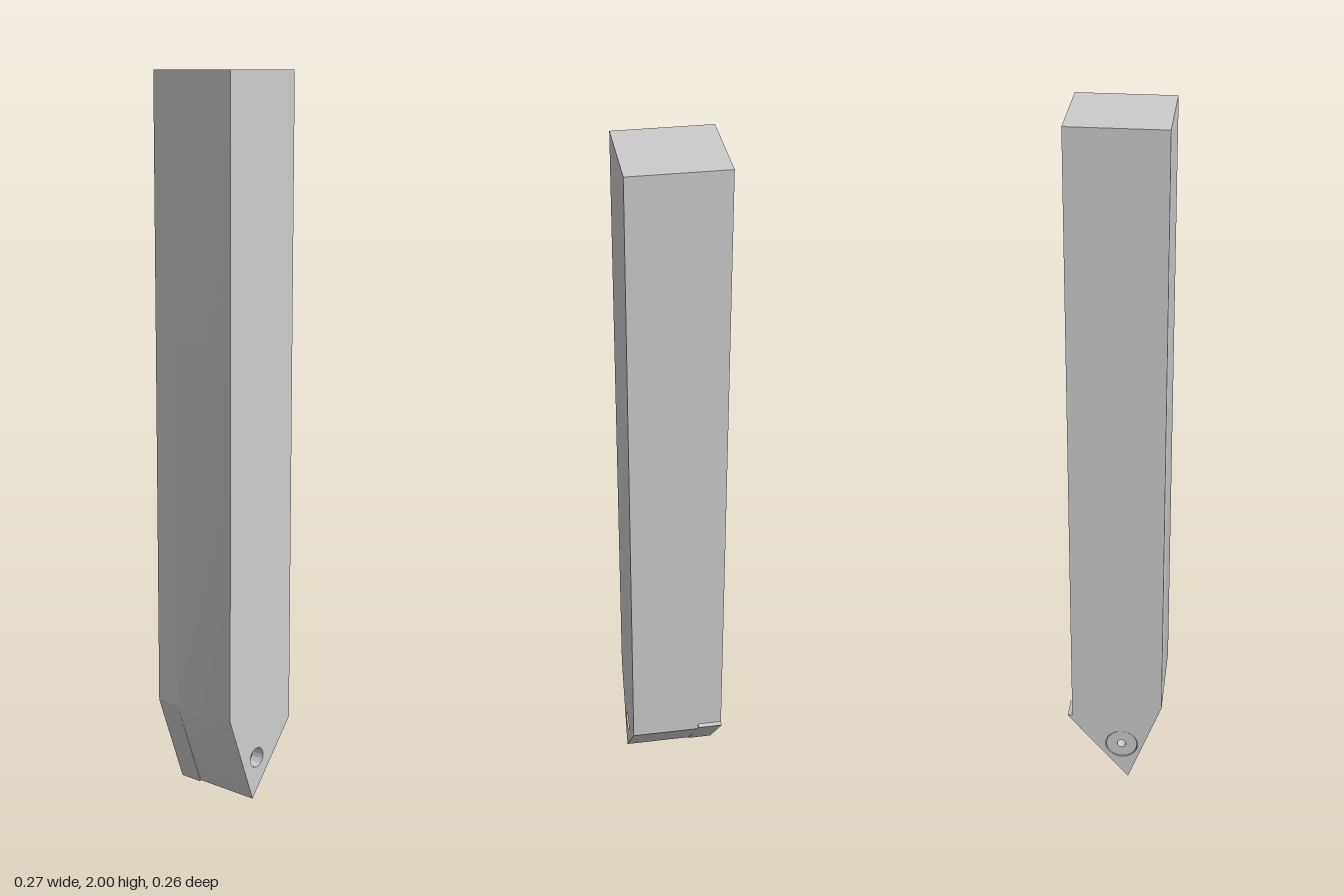
import * as THREE from 'three';
import { toCreasedNormals } from 'three/addons/utils/BufferGeometryUtils.js';

const material = new THREE.MeshStandardMaterial({ color: 0xcccccc });
const BACK = -0.132, SEAT = -0.063, FRONT = 0.13;
const SCREW = { x: -0.022, y: 0.122 };

// Flat plate between two z planes, with an optional round screw hole
function plate(name, points, z0, z1, holeRadius) {
  const shape = new THREE.Shape(points.map(([x, y]) => new THREE.Vector2(x, y)));
  if (holeRadius) {
    const hole = new THREE.Path();
    hole.absarc(SCREW.x, SCREW.y, holeRadius, 0, Math.PI * 2, true);
    shape.holes.push(hole);
  }
  const geometry = new THREE.ExtrudeGeometry(shape, { depth: z1 - z0, bevelEnabled: false, curveSegments: 32 });
  geometry.translate(0, 0, z0);
  const mesh = new THREE.Mesh(toCreasedNormals(geometry, 0.5), material);
  mesh.name = name;
  return mesh;
}

export function createModel() {
  const group = new THREE.Group();
  group.name = 'turningTool';

  // Square shank with a pointed end, full profile in front of the insert seat
  group.add(plate('shank',
    [[-0.138, 2], [-0.138, 0.263], [-0.04, 0.004], [0.123, 0.2], [0.123, 2]],
    SEAT, FRONT, 0.028));

  // Shank behind the seat, ending where the insert begins
  group.add(plate('shankBack',
    [[-0.138, 2], [-0.138, 0.263], [0.123, 0.219], [0.123, 2]], BACK, SEAT));

  // Triangular cutting insert whose corner overhangs the shank
  group.add(plate('cuttingInsert',
    [[-0.138, 0.263], [-0.041, 0], [0.136, 0.217]], BACK, SEAT, 0.047));

  // Countersunk clamping screw with a socket, passing through to the front hole
  const profile = [
    [0, -0.1], [0.013, -0.1], [0.013, -0.13], [0.045, -0.13], [0.045, -0.11],
    [0.028, -0.066], [0.028, 0.06], [0.017, 0.07], [0.017, 0.1], [0, 0.1],
  ].map(([r, y]) => new THREE.Vector2(r, y));
  const screwGeometry = new THREE.LatheGeometry(profile, 32);
  screwGeometry.rotateX(Math.PI / 2);
  const screw = new THREE.Mesh(toCreasedNormals(screwGeometry, 0.5), material);
  screw.name = 'clampScrew';
  screw.position.set(SCREW.x, SCREW.y, 0);
  group.add(screw);

  return group;
}
